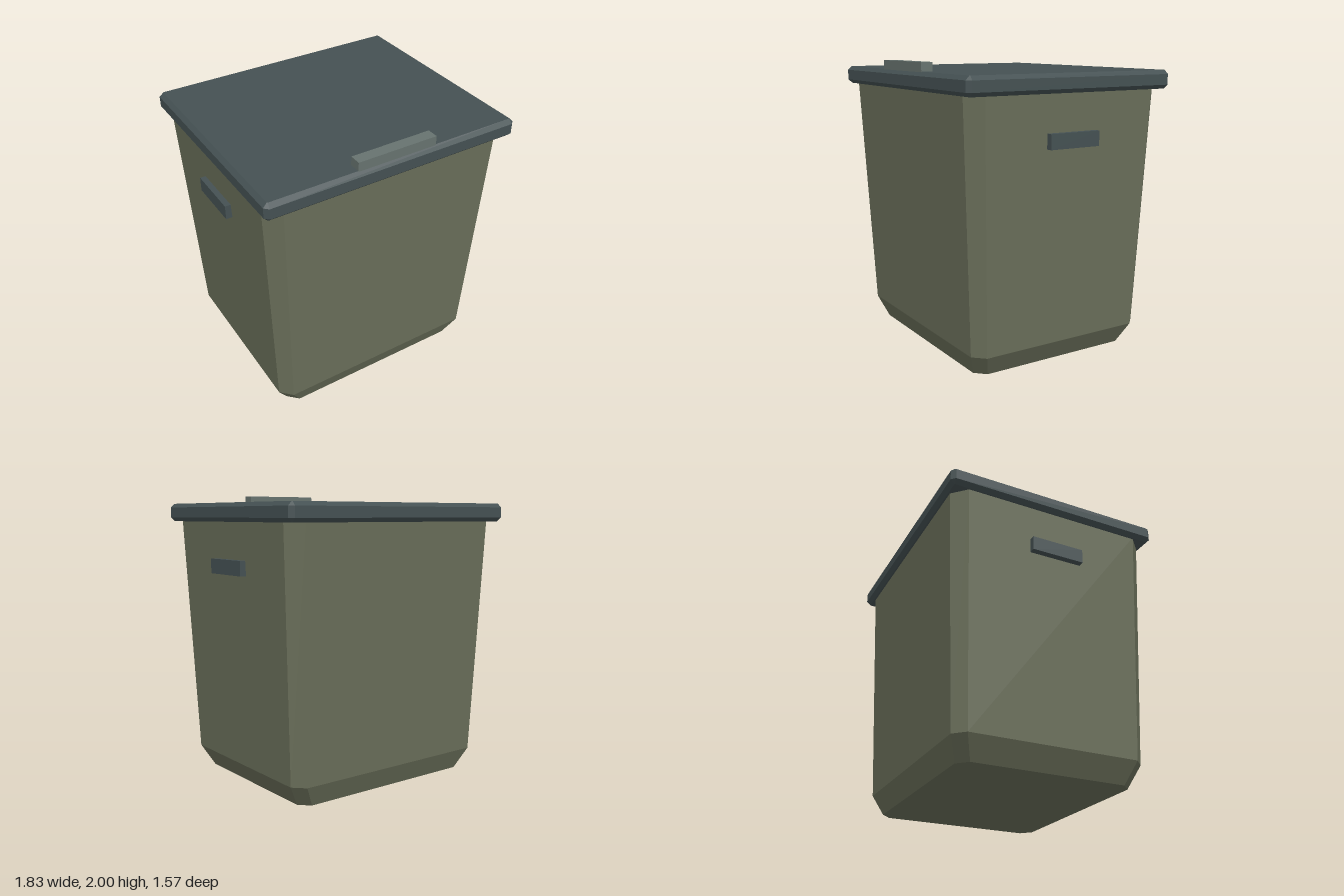
import * as THREE from 'three';

const mat = (name, color) => {
  const m = new THREE.MeshStandardMaterial({ color });
  m.name = name;
  return m;
};

// Closed solid lofted through corner-cut rectangles [y, halfX, halfZ, cut], bottom to top
function loft(sections) {
  const rings = sections.map(([y, x, z, c]) => [
    [x, y, z - c], [x, y, c - z], [x - c, y, -z], [c - x, y, -z],
    [-x, y, c - z], [-x, y, z - c], [c - x, y, z], [x - c, y, z],
  ]);
  const pos = [];
  const tri = (a, b, c) => pos.push(...a, ...b, ...c);
  for (let r = 0; r < rings.length - 1; r++) {
    for (let i = 0; i < 8; i++) {
      const j = (i + 1) % 8, lo = rings[r], hi = rings[r + 1];
      tri(lo[i], lo[j], hi[j]);
      tri(lo[i], hi[j], hi[i]);
    }
  }
  // Flat caps
  const bottom = rings[0], top = rings[rings.length - 1];
  for (let i = 1; i < 7; i++) {
    tri(bottom[0], bottom[i + 1], bottom[i]);
    tri(top[0], top[i], top[i + 1]);
  }
  const g = new THREE.BufferGeometry();
  g.setAttribute('position', new THREE.Float32BufferAttribute(pos, 3));
  g.computeVertexNormals();
  return g;
}

export function createModel() {
  const group = new THREE.Group();
  group.name = 'liddedBin';
  const olive = mat('olive plastic', 0x6a6f5a);
  const slate = mat('dark slate plastic', 0x455153);
  const grey = mat('grey green plastic', 0x67736f);

  const add = (name, geometry, material, x = 0, y = 0, z = 0) => {
    const mesh = new THREE.Mesh(geometry, material);
    mesh.name = name;
    mesh.position.set(x, y, z);
    group.add(mesh);
  };

  // Tapered body with a bevelled foot and cut corners
  add('body', loft([
    [0, 0.72, 0.61, 0.07],
    [0.15, 0.805, 0.672, 0.076],
    [1.83, 0.88, 0.747, 0.097],
  ]), olive);

  // Overhanging lid, bevelled on every edge
  add('lid', loft([
    [1.815, 0.889, 0.758, 0.004],
    [1.842, 0.917, 0.787, 0.028],
    [1.913, 0.917, 0.787, 0.028],
    [1.94, 0.889, 0.758, 0.004],
  ]), slate);

  // Lift tab at the front of the lid
  add('lidTab', new THREE.BoxGeometry(0.57, 0.07, 0.08), grey, 0, 1.965, 0.722);

  // Grips on both sides
  for (const side of [1, -1]) {
    add(side > 0 ? 'leftGrip' : 'rightGrip',
      new THREE.BoxGeometry(0.08, 0.1, 0.38), slate, side * 0.868, 1.518, 0);
  }
  return group;
}
